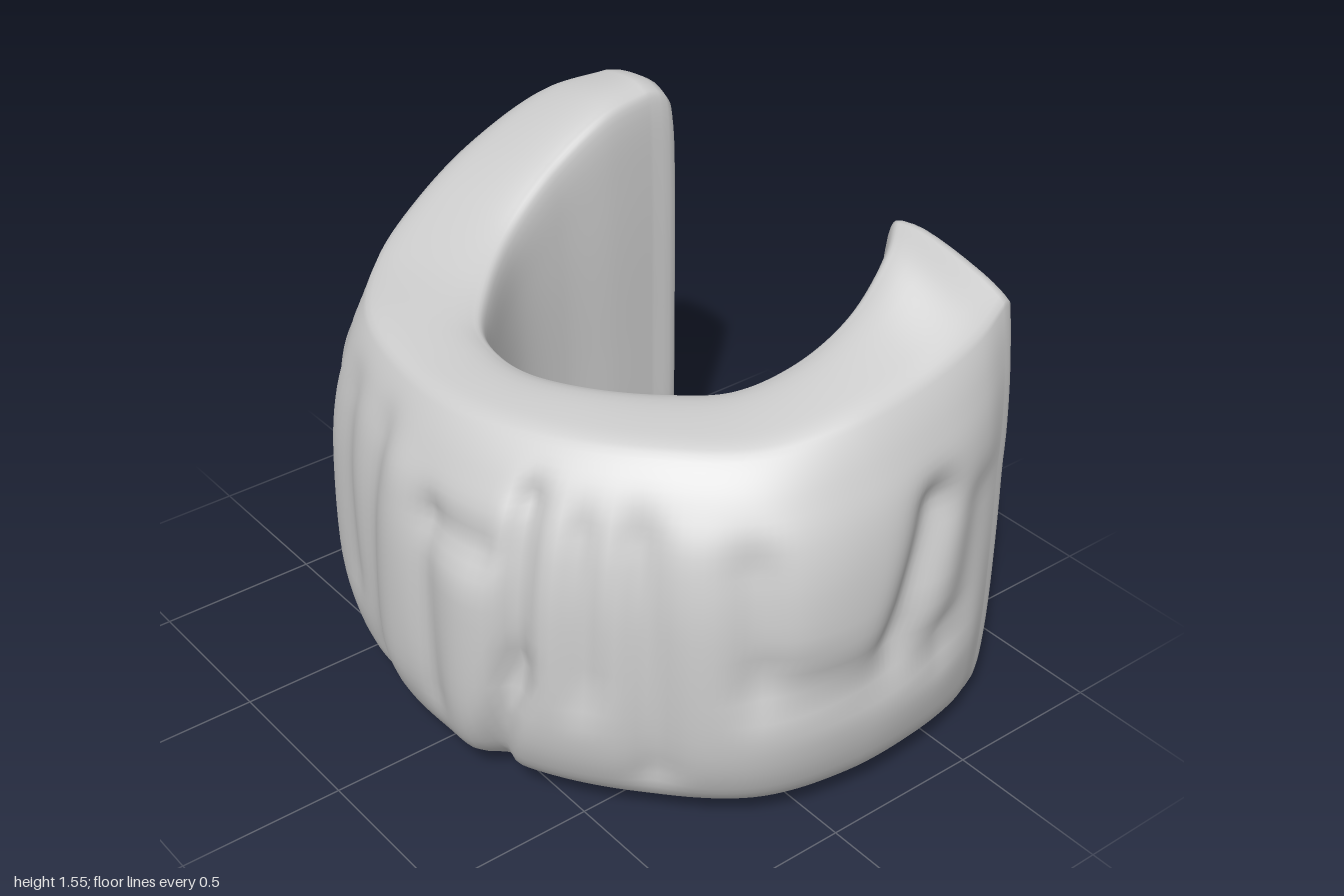
import * as THREE from 'three';

// Stations along the C, from the right end (-x) round the front to the left end (+x):
// inner x,z | outer top x,z | widest outer x,z | inner and outer top height
const STATIONS = [
  [-.54, -.57, -.81, -.57, -.86, -.51, 1.54, 1.54],
  [-.52, -.40, -.87, -.40, -.97, -.32, 1.52, 1.51],
  [-.50, -.18, -.88, -.12, -.98, -.12, 1.41, 1.40],
  [-.44, .02, -.83, .12, -.98, .10, 1.29, 1.29],
  [-.33, .17, -.72, .32, -.88, .34, 1.22, 1.22],
  [-.20, .28, -.50, .50, -.62, .58, 1.18, 1.19],
  [-.08, .31, -.22, .57, -.28, .69, 1.17, 1.17],
  [.04, .30, .05, .57, .07, .73, 1.17, 1.17],
  [.20, .23, .32, .47, .40, .66, 1.18, 1.18],
  [.34, .10, .55, .31, .69, .46, 1.18, 1.19],
  [.46, -.03, .74, .10, .92, .20, 1.20, 1.20],
  [.52, -.20, .82, -.12, .99, -.12, 1.26, 1.24],
  [.52, -.38, .84, -.38, .97, -.40, 1.35, 1.29],
  [.48, -.53, .83, -.58, .92, -.57, 1.47, 1.35],
  [.39, -.64, .80, -.70, .86, -.68, 1.50, 1.40],
];

// Wall section: 0 = inner face, 1 = outer top edge, 2 = widest outer line; then height fraction
const SECTION = [
  [.05, .97], [.18, 1], [.75, 1], [1, .98], [1.46, .89], [1.83, .765], [2, .6], [2, .3],
  [1.72, .13], [.98, .03], [.62, .005], [.33, .01], [.1, .06], [-.04, .17], [-.04, .5], [-.01, .8],
];

// Folds on the outside: angle,y to angle,y | depth (negative swells) | width
const FOLDS = [
  [.57, 1.0, .54, .5, .045, .06], [.54, .5, .4, .1, .045, .06],
  [.12, .86, .4, .86, .025, .06], [.08, .85, .14, .3, .02, .08],
  [.34, .7, .3, .2, -.025, .14], [-.32, .95, -.38, .2, .02, .09],
  [-.12, .9, -.15, .3, -.015, .12], [-.65, .95, -.58, .4, .025, .1],
  [.78, .95, .8, .5, .03, .07], [.98, .95, 1.04, .25, .035, .08],
  [1.32, .9, 1.32, .6, .03, .08], [1.36, .54, 1.95, .47, .035, .08],
  [1.92, .92, 1.78, .58, .06, .08], [1.56, .85, 1.6, .65, -.015, .18],
  [2.12, .85, 2.06, .5, .025, .09], [-.92, .95, -.98, .2, .035, .08],
  [-1.22, .85, -1.2, .2, .035, .08], [-1.85, 1.0, -1.8, .5, .035, .1],
  [-1.2, 1.15, -2.2, 1.22, .06, .18], [-1.45, .8, -1.75, .82, .04, .09],
  [-1.3, .38, -1.7, .36, -.025, .2],
];

// Sum of all folds at one place on the outside
function foldDepth(angle, y) {
  let sum = 0;
  for (const [a0, y0, a1, y1, depth, width] of FOLDS) {
    const da = a1 - a0, dy = y1 - y0;
    const t = THREE.MathUtils.clamp(((angle - a0) * da + (y - y0) * dy) / (da * da + dy * dy), 0, 1);
    const d = Math.hypot(angle - a0 - da * t, y - y0 - dy * t);
    sum += depth * Math.exp(-((d / width) ** 2));
  }
  return THREE.MathUtils.clamp(sum, -.04, .075);
}

function buildWall() {
  const RINGS = 170, SIDES = 90;
  const curve = (x, z, y) => new THREE.CatmullRomCurve3(
    STATIONS.map((s) => new THREE.Vector3(s[x], s[y], s[z])));
  const inner = curve(0, 1, 6), top = curve(2, 3, 7), wide = curve(4, 5, 7);
  const section = new THREE.CatmullRomCurve3(
    SECTION.map(([s, h]) => new THREE.Vector3(s, h, 0)), true, 'centripetal');
  const lip = new THREE.Vector3(-.12, 0, .07);

  const ringAt = (u) => {
    const a = inner.getPoint(u), b = top.getPoint(u), c = wide.getPoint(u);
    const out = c.clone().sub(a).setY(0).normalize();
    const ring = [];
    for (let j = 0; j < SIDES; j++) {
      const { x: s, y: h } = section.getPoint(j / SIDES);
      const p = s < 1 ? a.clone().lerp(b, s) : b.clone().lerp(c, s - 1);
      p.y = Math.max(0, p.y * h);
      // folds fade out towards the rim and the underside
      const outside = THREE.MathUtils.smoothstep(s, 1, 1.5);
      p.addScaledVector(out, -outside * foldDepth(Math.atan2(p.x, p.z), p.y));
      // inward swelling low on the left end
      const swell = THREE.MathUtils.smoothstep(u, .9, 1) * THREE.MathUtils.smoothstep(.6 - s, 0, .6);
      p.addScaledVector(lip, swell * Math.exp(-(((p.y - .45) / .33) ** 2)));
      ring.push(p);
    }
    return ring;
  };

  // Shrunken copies of an end ring make a domed cap
  const capRings = (ring, push) => {
    const mid = ring.reduce((m, p) => m.add(p), new THREE.Vector3()).divideScalar(SIDES);
    return [[.99, .3], [.97, .55], [.93, .75], [.86, .88], [.7, .97], [.45, 1], [.2, 1], [.001, 1]].map(
      ([k, f]) => ring.map((p) => mid.clone().lerp(p, k).addScaledVector(push, f)));
  };

  const body = [];
  for (let i = 0; i <= RINGS; i++) body.push(ringAt(i / RINGS));
  const rings = [
    ...capRings(body[0], new THREE.Vector3(.01, 0, -.11)).reverse(),
    ...body,
    ...capRings(body[RINGS], new THREE.Vector3(-.01, 0, -.06)),
  ];

  const index = [];
  for (let i = 0; i < rings.length - 1; i++) {
    for (let j = 0; j < SIDES; j++) {
      const k = (j + 1) % SIDES;
      const a = i * SIDES + j, b = i * SIDES + k, c = a + SIDES, d = b + SIDES;
      index.push(a, b, c, b, d, c);
    }
  }
  const geometry = new THREE.BufferGeometry().setFromPoints(rings.flat());
  geometry.setIndex(index);
  geometry.computeVertexNormals();
  return geometry;
}

export function createModel() {
  const group = new THREE.Group();
  group.name = 'foldedCuff';
  const wall = new THREE.Mesh(buildWall(), new THREE.MeshStandardMaterial({ color: 0xcccccc }));
  wall.name = 'curvedWall';
  group.add(wall);
  return group;
}
